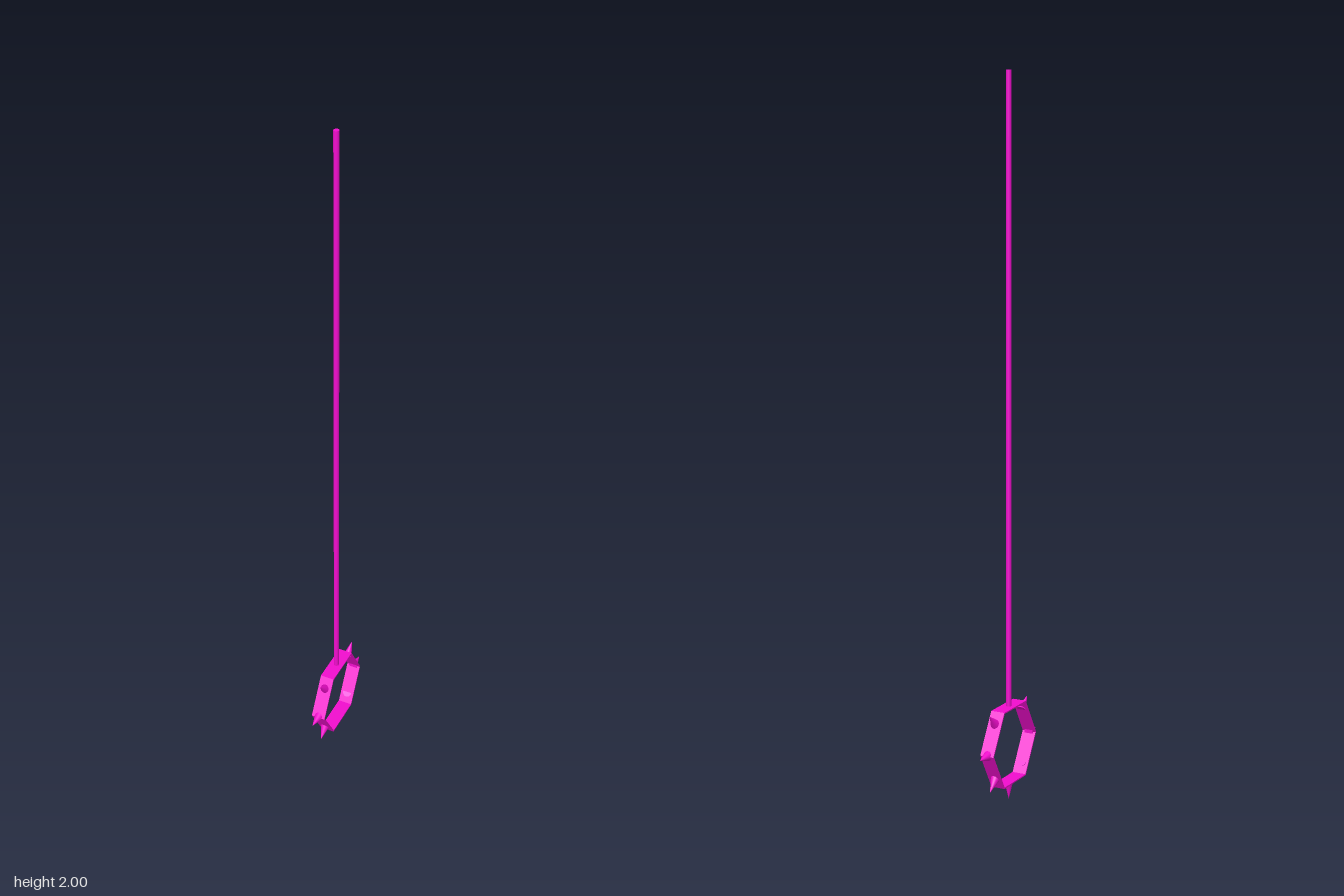
import * as THREE from 'three';

const CENTRE_Y = 0.161; // middle of the hexagonal ring
const RING_R = 0.126;   // corner radius of the ring
const WALL = 0.004;
const WIDTH = 0.041;

// Hexagon outline with corners on the horizontal axis
function hexagon(radius, Type) {
  const path = new Type();
  for (let i = 0; i < 6; i++) {
    const a = (i * Math.PI) / 3;
    const x = radius * Math.cos(a), y = radius * Math.sin(a);
    if (i === 0) path.moveTo(x, y); else path.lineTo(x, y);
  }
  path.closePath();
  return path;
}

export function createModel() {
  const model = new THREE.Group();
  model.name = 'spikedRingStaff';
  const material = new THREE.MeshStandardMaterial({ color: 0xf20dce });

  const add = (name, geometry, parent = model) => {
    const mesh = new THREE.Mesh(geometry, material);
    mesh.name = name;
    parent.add(mesh);
    return mesh;
  };

  // Long thin shaft standing on the flat top of the ring
  const ringTop = CENTRE_Y + RING_R * Math.cos(Math.PI / 6);
  const shaftLength = 2 - ringTop + WALL / 2;
  add('shaft', new THREE.CylinderGeometry(0.0075, 0.0075, shaftLength, 24))
    .position.y = 2 - shaftLength / 2;

  // Thin hexagonal band, lying in the YZ plane
  const outline = hexagon(RING_R, THREE.Shape);
  outline.holes.push(hexagon(RING_R - WALL, THREE.Path));
  const band = new THREE.ExtrudeGeometry(outline, { depth: WIDTH, bevelEnabled: false });
  band.translate(0, 0, -WIDTH / 2);
  band.rotateY(Math.PI / 2);
  add('ring', band).position.y = CENTRE_Y;

  // Seven spikes at 45 degree steps; the shaft takes the eighth place
  const spikes = new THREE.Group();
  spikes.name = 'spikes';
  spikes.position.y = CENTRE_Y;
  model.add(spikes);
  for (let i = 1; i < 8; i++) {
    const base = i % 2 ? 0.109 : i === 4 ? 0.107 : 0.119;
    const tip = i % 2 ? 0.154 : i === 4 ? CENTRE_Y : 0.164;
    const cone = new THREE.ConeGeometry(0.0135, tip - base, 24);
    cone.translate(0, (base + tip) / 2, 0);
    add('spike', cone, spikes).rotation.x = (i * Math.PI) / 4;
  }

  return model;
}
